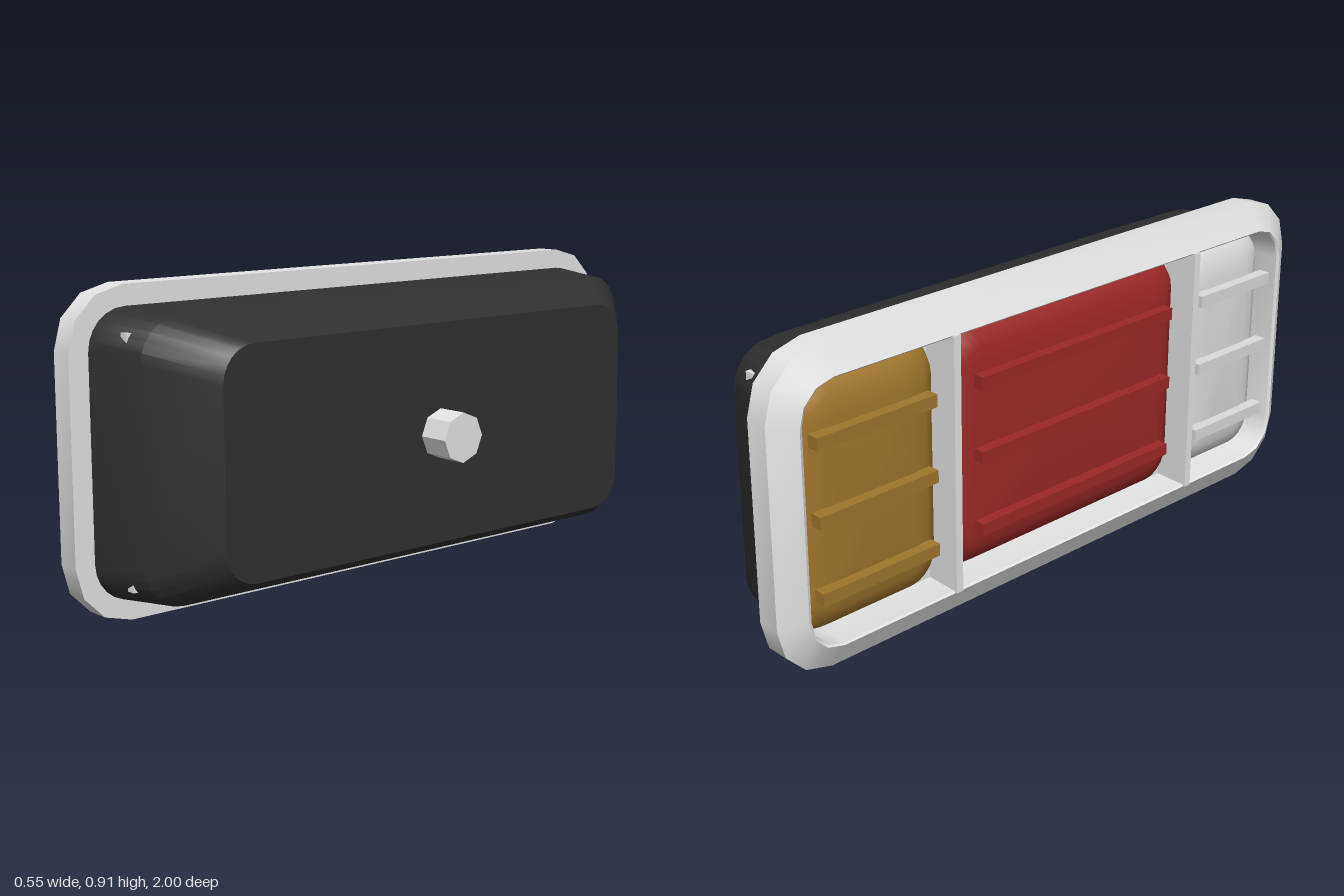
import * as THREE from 'three';
import { toCreasedNormals } from 'three/addons/utils/BufferGeometryUtils.js';

const CY = 0.456; // height of the lamp's centre line

// Rounded rectangle outline as [z, y] points
function outline(zc, yc, hz, hy, r, segs) {
  const pts = [];
  const corners = [[1, 1], [-1, 1], [-1, -1], [1, -1]];
  corners.forEach(([sz, sy], q) => {
    for (let i = 0; i <= segs; i++) {
      const a = (q + i / segs) * Math.PI / 2;
      pts.push([zc + sz * (hz - r) + r * Math.cos(a), yc + sy * (hy - r) + r * Math.sin(a)]);
    }
  });
  return pts;
}

// Skin through rings [x, halfZ, halfY, radius], capped at both ends
function loft(rings, segs, crease, zc = 0, yc = CY) {
  const pos = [], idx = [], n = 4 * (segs + 1);
  rings.forEach(([x, hz, hy, r]) =>
    outline(zc, yc, hz, hy, r, segs).forEach(([z, y]) => pos.push(x, y, z)));
  for (let i = 0; i < rings.length - 1; i++) {
    for (let j = 0; j < n; j++) {
      const k = (j + 1) % n, a = i * n + j, b = a + n, c = (i + 1) * n + k, d = i * n + k;
      idx.push(a, b, c, a, c, d);
    }
  }
  const last = rings.length - 1, s = rings.length * n, e = s + 1;
  pos.push(rings[0][0], yc, zc, rings[last][0], yc, zc);
  for (let j = 0; j < n; j++) {
    const k = (j + 1) % n;
    idx.push(s, j, k, e, last * n + k, last * n + j);
  }
  const g = new THREE.BufferGeometry();
  g.setAttribute('position', new THREE.Float32BufferAttribute(pos, 3));
  g.setIndex(idx);
  return toCreasedNormals(g, crease);
}

export function createModel() {
  const group = new THREE.Group();
  const material = (name, color) => {
    const m = new THREE.MeshStandardMaterial({ color });
    m.name = name;
    return m;
  };
  const black = material('black housing', 0x303030);
  const silver = material('silver trim', 0xe3e3e3);
  const clear = material('clear lens', 0xdadada);
  const red = material('red lens', 0x9c2828);
  const amber = material('amber lens', 0xa0762c);

  const add = (name, geo, mat, x = 0, y = 0, z = 0) => {
    const m = new THREE.Mesh(geo, mat);
    m.name = name;
    m.position.set(x, y, z);
    group.add(m);
    return m;
  };

  // Tapered housing
  add('housing', loft([
    [-0.156, 0.941, 0.398, 0.115],
    [0.035, 0.905, 0.384, 0.115],
    [0.181, 0.755, 0.318, 0.1],
  ], 6, 0.65), black);

  // Bezel: recessed panel, inner wall, chamfer, outer band, back
  add('bezel', loft([
    [-0.165, 0.915, 0.37, 0.1],
    [-0.265, 0.92, 0.373, 0.1],
    [-0.27, 0.93, 0.378, 0.11],
    [-0.225, 1, 0.456, 0.17],
    [-0.154, 1, 0.456, 0.17],
  ], 3, 0.6), silver);

  // Dividers between the lens sections
  for (const z of [-0.42, 0.53]) {
    add('divider', new THREE.BoxGeometry(0.11, 0.755, 0.024), silver, -0.22, CY, z);
  }

  // Pillow-shaped lenses, each with three ribs
  const sections = [
    { name: 'amber', mat: amber, z0: -0.915, z1: -0.432, r0: -0.875, r1: -0.48 },
    { name: 'red', mat: red, z0: -0.408, z1: 0.518, r0: -0.32, r1: 0.44 },
    { name: 'clear', mat: clear, z0: 0.542, z1: 0.915, r0: 0.575, r1: 0.893 },
  ];
  for (const s of sections) {
    const zc = (s.z0 + s.z1) / 2, hz = (s.z1 - s.z0) / 2, hy = 0.37;
    add(s.name + 'Lens', loft([
      [-0.23, hz - 0.1, hy - 0.12, 0.05],
      [-0.222, hz - 0.055, hy - 0.07, 0.07],
      [-0.2, hz - 0.015, hy - 0.025, 0.085],
      [-0.164, hz, hy, 0.09],
    ], 5, 1, zc), s.mat);
    for (const y of [0.228, 0.447, 0.665]) {
      add(s.name + 'Rib', new THREE.BoxGeometry(0.036, 0.036, s.r1 - s.r0), s.mat,
        -0.244, y, (s.r0 + s.r1) / 2);
    }
  }

  // Octagonal mounting stud
  const stud = new THREE.CylinderGeometry(0.072, 0.072, 0.1, 8).toNonIndexed();
  stud.computeVertexNormals();
  add('stud', stud, silver, 0.225, 0.457, 0).rotation.z = -Math.PI / 2;

  // Clip tips just breaking through the housing corners
  for (const z of [-0.884, 0.884]) {
    for (const y of [0.132, 0.783]) {
      add('clip', new THREE.BoxGeometry(0.027, 0.034, 0.044), silver, -0.038, y, z);
    }
  }

  return group;
}
